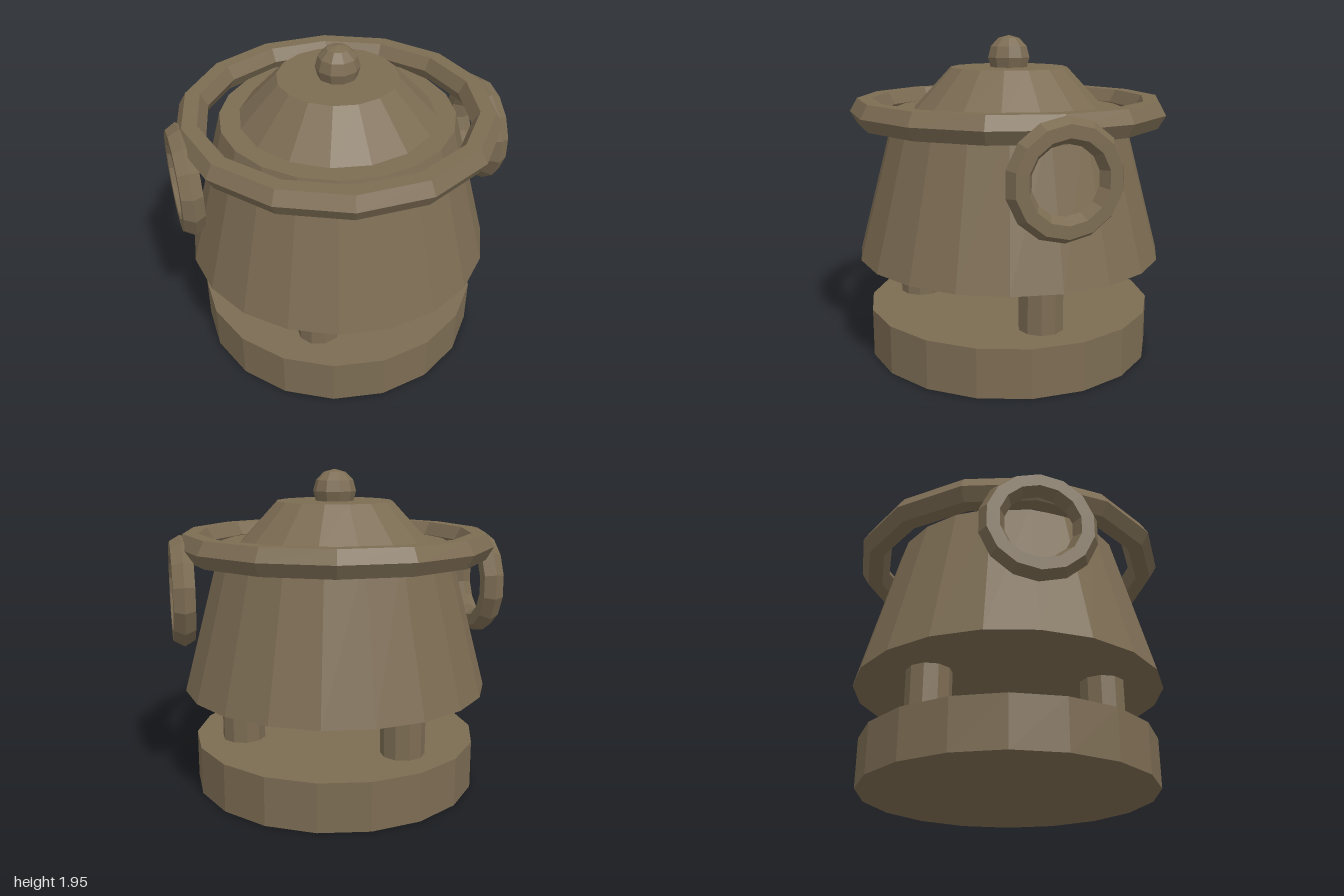
import * as THREE from 'three';

export function createModel() {
  const group = new THREE.Group();
  group.name = 'lanternPot';
  const bronze = new THREE.MeshStandardMaterial({ color: 0x7c6c53, flatShading: true });
  bronze.name = 'bronze';

  const add = (name, geometry, x = 0, y = 0, z = 0) => {
    const mesh = new THREE.Mesh(geometry, bronze);
    mesh.name = name;
    mesh.position.set(x, y, z);
    group.add(mesh);
    return mesh;
  };
  // Upright tapered drum between two heights
  const drum = (name, rTop, rBottom, y0, y1, sides, x = 0, z = 0) =>
    add(name, new THREE.CylinderGeometry(rTop, rBottom, y1 - y0, sides), x, (y0 + y1) / 2, z);
  // Faceted ring lying flat, with a hexagonal section
  const ring = (radius, tube) => new THREE.TorusGeometry(radius, tube, 6, 14).rotateX(Math.PI / 2);

  drum('base', 0.88, 0.88, 0, 0.294, 18);

  // Three legs, evenly spaced
  for (let i = 0; i < 3; i++) {
    const a = (i * Math.PI * 2) / 3;
    drum('leg', 0.133, 0.133, 0.294, 0.617, 10, 0.586 * Math.cos(a), 0.586 * Math.sin(a));
  }

  drum('body', 0.7, 0.937, 0.617, 1.51, 20);
  drum('lid', 0.355, 0.585, 1.51, 1.757, 16);
  add('knob', new THREE.SphereGeometry(0.131, 10, 6).rotateY(Math.PI / 2), 0, 1.815, 0);
  add('rim', ring(0.875, 0.09), 0, 1.498, 0);

  // Ring handles on both sides
  for (const side of [1, -1]) {
    add(side > 0 ? 'leftHandle' : 'rightHandle',
      ring(0.265, 0.072).rotateZ(Math.PI / 2), side * 0.9375, 1.235, 0);
  }
  return group;
}
